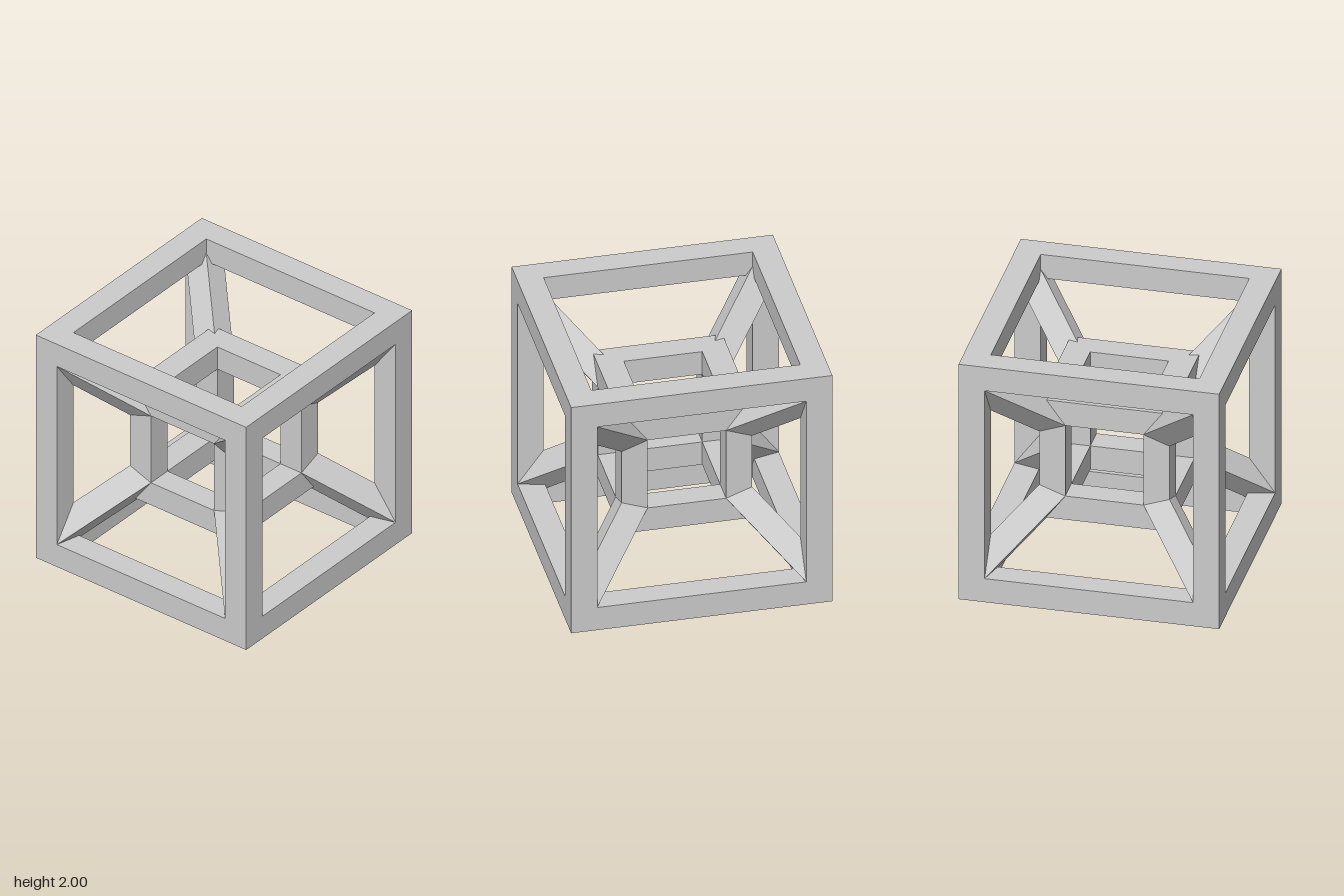
import * as THREE from 'three';

const material = new THREE.MeshStandardMaterial({ color: 0xcccccc, flatShading: true });
const BAR = 0.2; // thickness of every bar
const SIGNS = [-1, 1];

function addMesh(parent, name, geometry) {
  const mesh = new THREE.Mesh(geometry, material);
  mesh.name = name;
  parent.add(mesh);
  return mesh;
}

function squarePath(PathClass, half) {
  return new PathClass([[-1, -1], [1, -1], [1, 1], [-1, 1]]
    .map(([x, y]) => new THREE.Vector2(x * half, y * half)));
}

// Open cube frame centred on the origin: two square rings joined by four posts
function cubeFrame(name, half) {
  const frame = new THREE.Group();
  frame.name = name;
  const shape = squarePath(THREE.Shape, half);
  shape.holes.push(squarePath(THREE.Path, half - BAR));
  const ring = new THREE.ExtrudeGeometry(shape, { depth: BAR, bevelEnabled: false });
  ring.rotateX(-Math.PI / 2);
  addMesh(frame, 'topRing', ring).position.y = half - BAR;
  addMesh(frame, 'bottomRing', ring).position.y = -half;

  const post = new THREE.BoxGeometry(BAR, 2 * (half - BAR), BAR);
  const c = half - BAR / 2;
  for (const sx of SIGNS) for (const sz of SIGNS) {
    addMesh(frame, 'cornerPost', post).position.set(sx * c, 0, sz * c);
  }
  return frame;
}

export function createModel() {
  const model = new THREE.Group();
  model.name = 'nestedCubes';
  const body = new THREE.Group();
  body.name = 'body';
  body.position.y = 1;
  model.add(body);

  body.add(cubeFrame('outerFrame', 1), cubeFrame('innerFrame', 0.5));

  // Diagonal struts, standing on edge, from inner corners to outer corners
  const start = new THREE.Vector3(0.4, 0.3, 0.4);
  const end = new THREE.Vector3(0.9, 0.8, 0.9);
  const strut = new THREE.BoxGeometry(BAR, BAR, start.distanceTo(end));
  strut.rotateZ(Math.PI / 4);
  for (const sx of SIGNS) for (const sy of SIGNS) for (const sz of SIGNS) {
    const mirror = new THREE.Vector3(sx, sy, sz);
    const mesh = addMesh(body, 'diagonalStrut', strut);
    mesh.position.copy(start).add(end).multiplyScalar(0.5).multiply(mirror);
    // Aim along the cube diagonal
    const m = new THREE.Matrix4().lookAt(mirror, new THREE.Vector3(), new THREE.Vector3(0, 1, 0));
    mesh.quaternion.setFromRotationMatrix(m);
  }
  return model;
}
